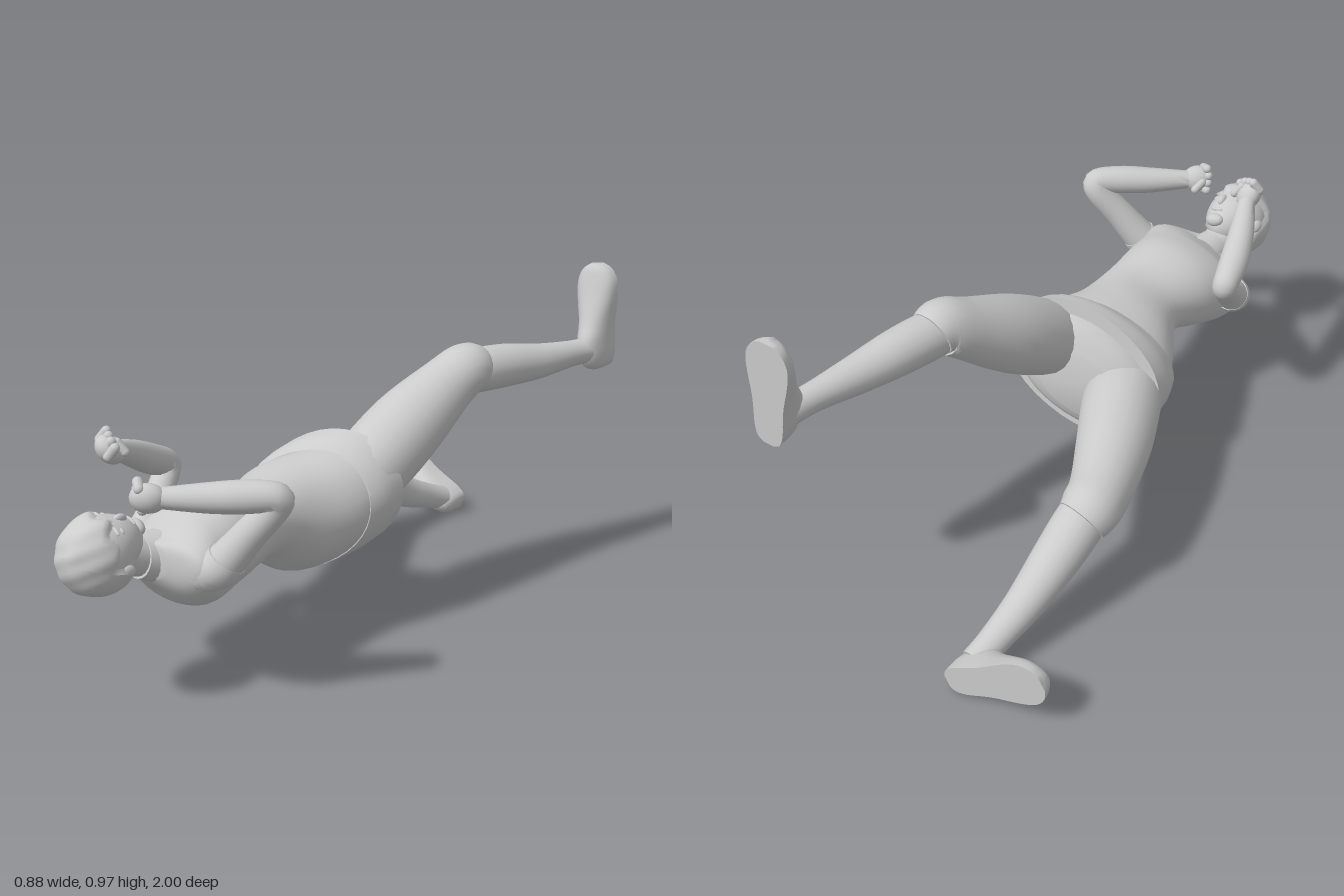
import * as THREE from 'three';
import { toCreasedNormals } from 'three/addons/utils/BufferGeometryUtils.js';

const V = (x, y, z) => new THREE.Vector3(x, y, z);
const material = new THREE.MeshStandardMaterial({ color: 0xcccccc });
const TAU = Math.PI * 2;

function part(parent, name, geometry) {
  const mesh = new THREE.Mesh(geometry, material);
  mesh.name = name;
  parent.add(mesh);
  return mesh;
}

// Catmull-Rom interpolation of rows of numbers
function smooth(rows, steps = 5) {
  const out = [];
  const at = (i) => rows[Math.min(Math.max(i, 0), rows.length - 1)];
  for (let i = 0; i < rows.length - 1; i++) {
    for (let s = 0; s < steps; s++) {
      const t = s / steps;
      out.push(at(i).map((b, k) => {
        const a = at(i - 1)[k], c = at(i + 1)[k], d = at(i + 2)[k];
        return b + 0.5 * t * (c - a + t * (2 * a - 5 * b + 4 * c - d + t * (3 * (b - c) + d - a)));
      }));
    }
  }
  out.push(at(rows.length - 1));
  return out;
}

// Skin over closed rings, capped at both ends
function loft(rings, crease = 0.9) {
  const n = rings[0].length, pos = [], index = [];
  rings.forEach((ring) => ring.forEach((p) => pos.push(p.x, p.y, p.z)));
  for (let i = 0; i < rings.length - 1; i++) {
    for (let j = 0; j < n; j++) {
      const a = i * n + j, b = i * n + (j + 1) % n;
      index.push(a, b, b + n, a, b + n, a + n);
    }
  }
  [0, rings.length - 1].forEach((i) => {
    const c = rings[i].reduce((s, p) => s.add(p), V(0, 0, 0)).divideScalar(n);
    const ci = pos.length / 3;
    pos.push(c.x, c.y, c.z);
    for (let j = 0; j < n; j++) {
      const a = i * n + j, b = i * n + (j + 1) % n;
      if (i === 0) index.push(ci, b, a); else index.push(ci, a, b);
    }
  });
  const g = new THREE.BufferGeometry();
  g.setAttribute('position', new THREE.Float32BufferAttribute(pos, 3));
  g.setIndex(index);
  return toCreasedNormals(g, crease);
}

// Round limb through rows of [x, y, z, radius]
function limb(rows, sides = 20) {
  const pts = smooth(rows);
  const p = pts.map((r) => V(r[0], r[1], r[2]));
  let u = V(1, 0.3, 0.2);
  return loft(pts.map((r, i) => {
    const t = p[Math.min(i + 1, p.length - 1)].clone().sub(p[Math.max(i - 1, 0)]).normalize();
    u = u.clone().addScaledVector(t, -u.dot(t)).normalize();
    const v = t.clone().cross(u);
    return Array.from({ length: sides }, (_, j) => {
      const a = j / sides * TAU;
      return p[i].clone().addScaledVector(u, r[3] * Math.cos(a)).addScaledVector(v, r[3] * Math.sin(a));
    });
  }));
}

// Body sections across z, rows of [z, x, y, halfWidth, halfDepth, roll in degrees, tilt by x, tilt by y]
function body(rows, sides = 36) {
  const squarish = (v) => Math.sign(v) * Math.pow(Math.abs(v), 0.93);
  return loft(smooth(rows).map(([z, x, y, a, b, roll, kx, ky]) => {
    const c = Math.cos(roll * Math.PI / 180), s = Math.sin(roll * Math.PI / 180);
    return Array.from({ length: sides }, (_, j) => {
      const u = a * squarish(Math.cos(j / sides * TAU)), v = b * squarish(Math.sin(j / sides * TAU));
      const dx = u * c - v * s, dy = u * s + v * c;
      return V(x + dx, y + dy, z + kx * dx + ky * dy);
    });
  }));
}

// Shoe with a flat sole on z = -1, rows of [along, halfWidth, height]
function shoe(heel, toe) {
  const d = toe.clone().sub(heel), u = V(0, 0, 1).cross(d).normalize();
  const rows = smooth([[0, 0.016, 0.07], [0.04, 0.036, 0.1], [0.15, 0.046, 0.122], [0.3, 0.048, 0.125], [0.45, 0.052, 0.1],
    [0.68, 0.065, 0.072], [0.84, 0.066, 0.056], [0.95, 0.048, 0.045], [1, 0.02, 0.035]], 3);
  return loft(rows.map(([t, w, h]) => Array.from({ length: 24 }, (_, j) => {
    const a = j / 24 * TAU, up = Math.max(0, Math.sin(a));
    return heel.clone().addScaledVector(d, t).addScaledVector(u, w * Math.cos(a)).add(V(0, 0, h * Math.pow(up, 0.65)));
  })), 1.1);
}

function ball(parent, name, pos, scale) {
  const m = part(parent, name, new THREE.SphereGeometry(1, 20, 14));
  m.position.set(...pos);
  m.scale.set(...scale);
  return m;
}

// Group whose local y follows up and local z follows front
function oriented(parent, name, pos, up, front) {
  const g = new THREE.Group();
  const y = up.clone().normalize(), x = y.clone().cross(front).normalize();
  g.quaternion.setFromRotationMatrix(new THREE.Matrix4().makeBasis(x, y, x.clone().cross(y)));
  g.position.copy(pos);
  g.name = name;
  parent.add(g);
  return g;
}

// Clenched hand: y runs from wrist to knuckles
function fist(parent, name, pos, up, front, side) {
  const g = oriented(parent, name, pos, up, front);
  ball(g, 'palm', [0, -0.004, -0.002], [0.043, 0.05, 0.036]);
  for (let i = 0; i < 4; i++) {
    const f = part(g, 'finger', new THREE.CapsuleGeometry(0.0145, 0.032, 4, 10));
    f.position.set(-0.035 + i * 0.0235, 0.025 - Math.abs(i - 1.3) * 0.004, 0.006);
    f.rotation.x = Math.PI / 2 - 0.3;
  }
  const thumb = part(g, 'thumb', new THREE.CapsuleGeometry(0.013, 0.034, 4, 10));
  thumb.position.set(side * 0.02, -0.004, 0.029);
  thumb.rotation.z = side * 0.8;
}

function head(parent) {
  const g = oriented(parent, 'head', V(-0.053, 0.472, 0.878), V(-0.08, 0.2, 0.97), V(0.3, 0.93, -0.2));
  // Skull tapering to the jaw
  const skull = new THREE.SphereGeometry(1, 36, 28), p = skull.attributes.position;
  for (let i = 0; i < p.count; i++) {
    const x = p.getX(i), y = p.getY(i), z = p.getZ(i);
    const low = Math.max(0, -y);
    p.setXYZ(i, x * 0.097 * (1 - 0.22 * low), y * (y < 0 ? 0.125 : 0.112), z * 0.106 * (1 - 0.2 * low) + low * 0.035);
  }
  skull.computeVertexNormals();
  part(g, 'face', skull);
  // Hair cap with soft locks, cut back around the face
  const hair = new THREE.SphereGeometry(1, 48, 32), h = hair.attributes.position;
  for (let i = 0; i < h.count; i++) {
    const x = h.getX(i), y = h.getY(i), z = h.getZ(i);
    const edge = z > 0 ? 0.25 + 0.12 * Math.sin(x * 9) : -0.45;
    const cover = THREE.MathUtils.smoothstep(y - edge + Math.max(0, -z) * 0.3, -0.06, 0.1);
    const r = 0.92 + cover * (0.12 + 0.025 * Math.sin(9 * x + 4 * z) * Math.sin(7 * z + 4 * y));
    h.setXYZ(i, x * 0.103 * r, y * 0.117 * r, z * 0.115 * r);
  }
  hair.computeVertexNormals();
  part(g, 'hair', hair);
  ball(g, 'nose', [0, -0.032, 0.104], [0.011, 0.022, 0.015]);
  ball(g, 'mouth', [0, -0.072, 0.096], [0.022, 0.006, 0.006]);
  ball(g, 'chin', [0, -0.1, 0.073], [0.032, 0.022, 0.022]);
  [-1, 1].forEach((s) => {
    ball(g, 'eye', [s * 0.036, -0.01, 0.091], [0.016, 0.008, 0.008]);
    ball(g, 'brow', [s * 0.036, 0.012, 0.092], [0.022, 0.005, 0.009]);
    ball(g, 'ear', [s * 0.095, -0.025, 0], [0.011, 0.026, 0.017]).rotation.y = s * -0.4;
  });
}

export function createModel() {
  const model = new THREE.Group();
  model.name = 'recliningFigure';

  part(model, 'torso', body([
    [-0.07, 0.01, 0.37, 0.13, 0.09, 32, -0.2, 0.1], [-0.03, 0.02, 0.385, 0.22, 0.15, 32, -0.2, 0.1],
    [0.08, 0.02, 0.375, 0.235, 0.17, 30, -0.15, 0], [0.2, 0.015, 0.38, 0.19, 0.163, 26, 0, 0],
    [0.35, 0.03, 0.42, 0.141, 0.11, 20, 0, 0], [0.5, 0.008, 0.41, 0.166, 0.138, 17, 0.05, 0],
    [0.6, 0, 0.388, 0.186, 0.14, 14, 0.12, 0], [0.66, 0.002, 0.388, 0.195, 0.113, 13, 0.2, 0],
    [0.705, 0.005, 0.4, 0.16, 0.077, 13, 0.2, 0], [0.735, -0.02, 0.415, 0.08, 0.055, 12, 0.1, 0]]));
  // Hem over the hips
  part(model, 'hem', body([
    [-0.015, 0.026, 0.398, 0.262, 0.187, 33, -0.18, 0.13], [0.05, 0.022, 0.386, 0.254, 0.186, 32, -0.18, 0.06],
    [0.11, 0.02, 0.375, 0.232, 0.173, 29, -0.18, -0.05]]));

  part(model, 'neck', limb([[-0.02, 0.415, 0.68, 0.062], [-0.03, 0.425, 0.74, 0.056], [-0.045, 0.455, 0.83, 0.055]]));
  part(model, 'collar', limb([[-0.022, 0.415, 0.70, 0.074], [-0.032, 0.428, 0.755, 0.061]]));
  head(model);

  // Arms, bent with raised fists
  const arms = {
    left: [[0.13, 0.4, 0.68, 0.055], [0.185, 0.425, 0.672, 0.056], [0.265, 0.53, 0.635, 0.046], [0.326, 0.61, 0.605, 0.042],
      [0.334, 0.641, 0.614, 0.041], [0.265, 0.641, 0.665, 0.045], [0.19, 0.636, 0.715, 0.041], [0.09, 0.633, 0.785, 0.029]],
    right: [[-0.13, 0.36, 0.635, 0.062], [-0.178, 0.375, 0.6, 0.054], [-0.207, 0.445, 0.505, 0.043], [-0.237, 0.525, 0.415, 0.04],
      [-0.242, 0.552, 0.408, 0.04], [-0.232, 0.585, 0.48, 0.045], [-0.21, 0.63, 0.57, 0.04], [-0.175, 0.68, 0.675, 0.028]],
  };
  for (const [side, rows] of Object.entries(arms)) {
    part(model, side + 'Arm', limb(rows));
    const [, a, b] = rows, mid = a.map((v, k) => v + (b[k] - v) * 0.25);
    part(model, side + 'Sleeve', limb([rows[0], a, mid].map((r) => [r[0], r[1], r[2], r[3] + 0.003])));
  }
  fist(model, 'leftFist', V(0.06, 0.634, 0.808), V(-0.82, 0, 0.5), V(-0.4, 0.3, -0.8), 1);
  fist(model, 'rightFist', V(-0.166, 0.695, 0.71), V(0, 0.5, 0.6), V(0.5, 0.5, -0.5), -1);

  // Legs: loose trouser legs to the knee, then bare shins
  part(model, 'leftThigh', limb([[0.12, 0.415, 0.06, 0.09], [0.145, 0.483, -0.04, 0.116], [0.173, 0.584, -0.2, 0.116],
    [0.212, 0.685, -0.36, 0.09], [0.236, 0.723, -0.425, 0.082], [0.245, 0.717, -0.465, 0.073]]));
  part(model, 'leftShin', limb([[0.225, 0.71, -0.39, 0.062], [0.25, 0.713, -0.47, 0.069], [0.285, 0.71, -0.58, 0.067],
    [0.325, 0.702, -0.7, 0.056], [0.365, 0.702, -0.84, 0.042], [0.388, 0.7, -0.93, 0.042]]));
  part(model, 'rightThigh', limb([[-0.08, 0.335, 0.08, 0.11], [-0.125, 0.325, -0.04, 0.12], [-0.19, 0.315, -0.2, 0.112],
    [-0.25, 0.303, -0.38, 0.092], [-0.263, 0.295, -0.46, 0.088], [-0.256, 0.277, -0.5, 0.078]]));
  part(model, 'rightShin', limb([[-0.255, 0.3, -0.42, 0.07], [-0.25, 0.265, -0.51, 0.074], [-0.235, 0.206, -0.61, 0.069],
    [-0.21, 0.13, -0.74, 0.055], [-0.187, 0.083, -0.86, 0.044], [-0.172, 0.058, -0.93, 0.042]]));
  const shoes = { left: [V(0.4, 0.635, -1), V(0.363, 0.97, -1)], right: [V(-0.127, 0.026, -1), V(-0.432, 0.17, -1)] };
  for (const [side, [heel, toe]] of Object.entries(shoes)) part(model, side + 'Shoe', shoe(heel, toe));

  return model;
}
